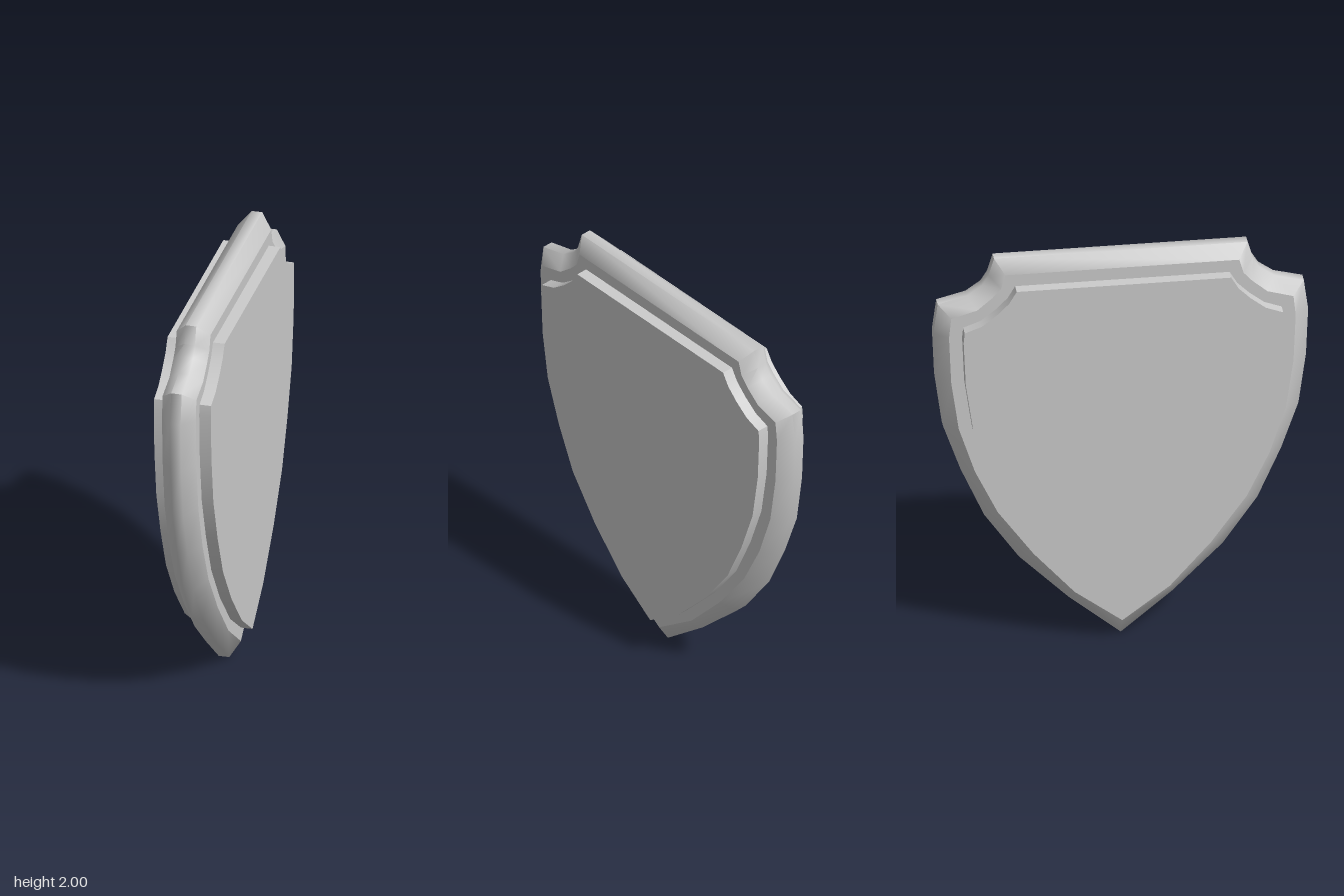
import * as THREE from 'three';
import { toCreasedNormals } from 'three/addons/utils/BufferGeometryUtils.js';

// Half outlines as [z, y], from the bottom tip up to the top corner
const OUTER = [[0, 0], [0.24, 0.2], [0.47, 0.43], [0.63, 0.66], [0.74, 0.91], [0.82, 1.14], [0.855, 1.395],
  [0.865, 1.63], [0.845, 1.78], [0.71, 1.815], [0.64, 1.865], [0.61, 1.915], [0.585, 2]];
const INNER = [[0, 0.09], [0.22, 0.255], [0.41, 0.47], [0.575, 0.7], [0.68, 0.92], [0.755, 1.15], [0.79, 1.395],
  [0.8, 1.63], [0.79, 1.73], [0.67, 1.765], [0.6, 1.825], [0.56, 1.87], [0.54, 1.94]];
const PANEL = [[0, 0.16], [0.19, 0.3], [0.375, 0.505], [0.525, 0.72], [0.62, 0.94], [0.695, 1.165], [0.73, 1.405],
  [0.74, 1.63], [0.735, 1.68], [0.655, 1.71], [0.585, 1.765], [0.53, 1.82], [0.495, 1.88]];

const EDGE_X = 0.025, RIM_X = 0.08, PANEL_X = 0.135;

// Mirror a half outline into a closed one
const closed = (half) => [...half, ...half.slice(1).reverse().map(([z, y]) => [-z, y])];

// Skin between successive rings, each given as [half outline, x]
function loft(rings) {
  const loops = rings.map(([half, x]) => closed(half).map(([z, y]) => [x, y, z]));
  const n = loops[0].length;
  const positions = loops.flat(2);
  const index = [];
  for (let r = 0; r < loops.length - 1; r++) {
    for (let i = 0; i < n; i++) {
      const j = (i + 1) % n;
      const a = r * n + i, b = r * n + j, c = b + n, d = a + n;
      index.push(a, d, c, a, c, b);
    }
  }
  const geometry = new THREE.BufferGeometry();
  geometry.setAttribute('position', new THREE.Float32BufferAttribute(positions, 3));
  geometry.setIndex(index);
  return geometry;
}

export function createModel() {
  const group = new THREE.Group();
  group.name = 'shield';
  const material = new THREE.MeshStandardMaterial({ color: 0xcccccc });

  function add(name, geometry, crease) {
    const mesh = new THREE.Mesh(toCreasedNormals(geometry, crease), material);
    mesh.name = name;
    group.add(mesh);
  }

  // Bevelled rim, smooth across its section, with sharp corners
  add('rim', loft([[INNER, -RIM_X], [OUTER, -EDGE_X], [OUTER, EDGE_X], [INNER, RIM_X]]), 0.95);

  // Flat ledges between the rim and the raised panel, one per face
  add('leftLedge', loft([[INNER, RIM_X], [PANEL, RIM_X]]), 0.5);
  add('rightLedge', loft([[PANEL, -RIM_X], [INNER, -RIM_X]]), 0.5);

  // Raised panel running through both faces
  const shape = new THREE.Shape(closed(PANEL).map(([z, y]) => new THREE.Vector2(z, y)));
  const panel = new THREE.ExtrudeGeometry(shape, { depth: 2 * PANEL_X, bevelEnabled: false });
  panel.translate(0, 0, -PANEL_X).rotateY(Math.PI / 2);
  add('panel', panel, 0.5);

  return group;
}
